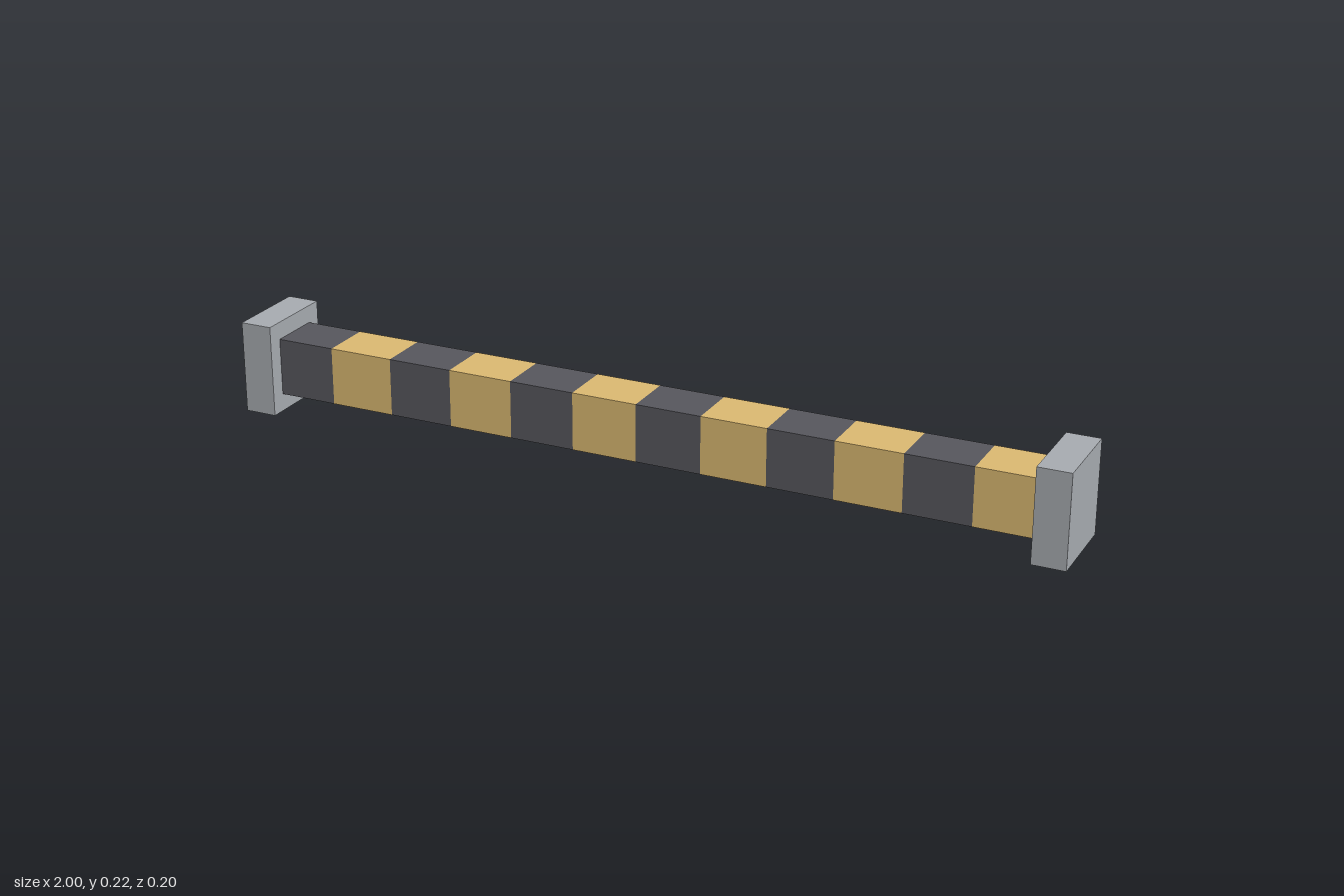
import * as THREE from 'three';

export function createModel() {
  const model = new THREE.Group();
  model.name = 'stripedBarrier';

  const steel = new THREE.MeshStandardMaterial({ color: 0xa9adb2 });
  const yellow = new THREE.MeshStandardMaterial({ color: 0xdebb72 });
  const dark = new THREE.MeshStandardMaterial({ color: 0x58585e });

  const addBox = (name, size, position, material, parent) => {
    const mesh = new THREE.Mesh(new THREE.BoxGeometry(...size), material);
    mesh.name = name;
    mesh.position.set(...position);
    parent.add(mesh);
  };

  // Bar of alternating stripes, its ends sunk slightly into the plates
  const bar = new THREE.Group();
  bar.name = 'stripedBar';
  model.add(bar);
  const count = 12;
  const stripe = 0.1563;
  for (let i = 0; i < count; i++) {
    const x = (i - (count - 1) / 2) * stripe;
    const isDark = i % 2 === 0;
    addBox(isDark ? 'darkStripe' : 'yellowStripe', [stripe, 0.137, 0.126],
      [x, 0.11, 0], isDark ? dark : yellow, bar);
  }

  // End plates that stand on the ground
  for (const side of [-1, 1]) {
    addBox(side > 0 ? 'leftEndPlate' : 'rightEndPlate', [0.077, 0.22, 0.201],
      [side * 0.9615, 0.11, 0], steel, model);
  }

  return model;
}
